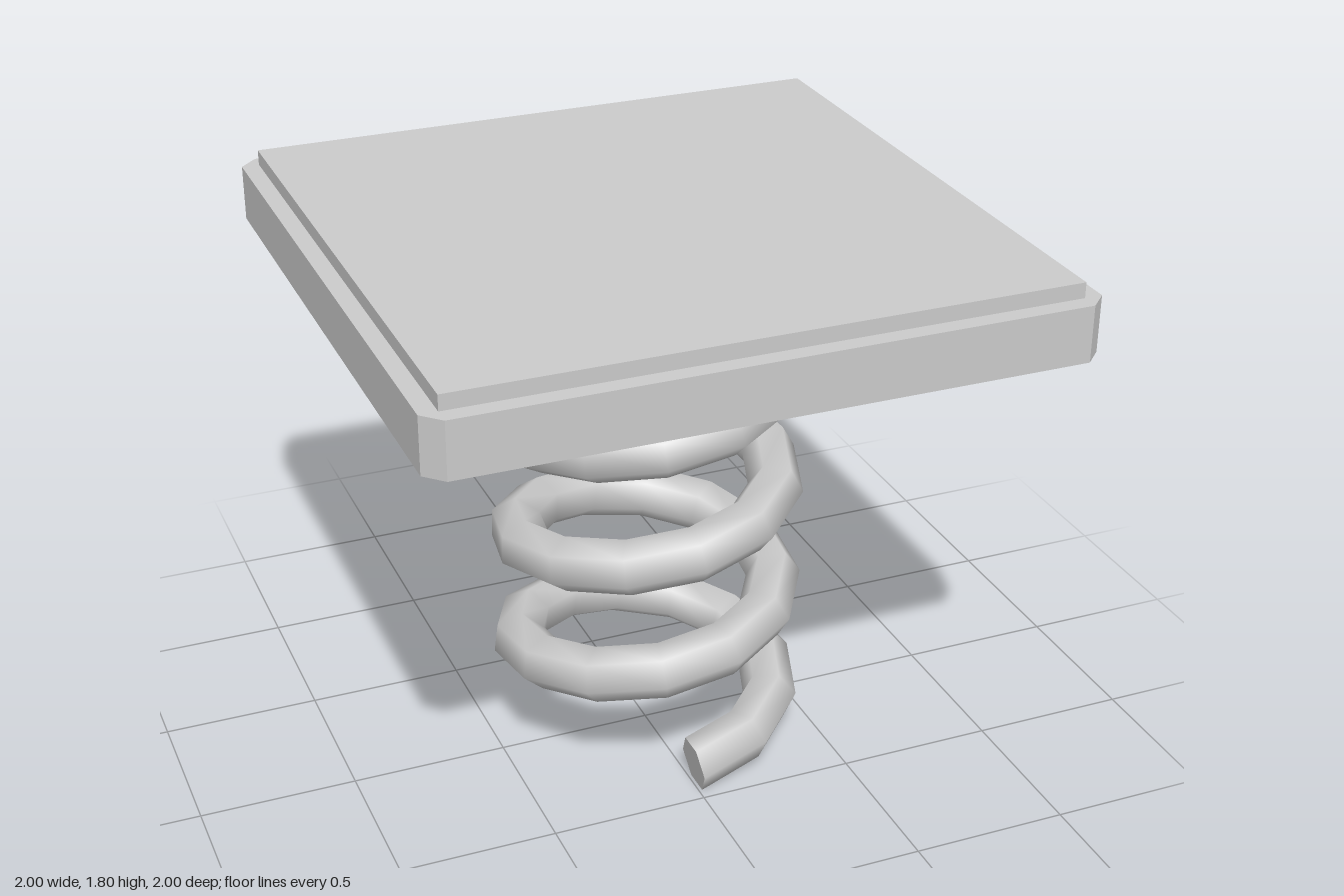
import * as THREE from 'three';

const material = new THREE.MeshStandardMaterial({ color: 0xcccccc });
const flat = new THREE.MeshStandardMaterial({ color: 0xcccccc, flatShading: true });

// Helix that starts at the front and climbs towards the model's left
class Helix extends THREE.Curve {
  constructor(radius, pitch, turns, baseY) {
    super();
    Object.assign(this, { radius, pitch, turns, baseY });
  }
  getPoint(t, target = new THREE.Vector3()) {
    const a = t * this.turns * Math.PI * 2;
    return target.set(
      Math.sin(a) * this.radius,
      this.baseY + t * this.turns * this.pitch,
      Math.cos(a) * this.radius
    );
  }
}

function add(group, name, geometry, mat, y = 0) {
  const mesh = new THREE.Mesh(geometry, mat);
  mesh.name = name;
  mesh.position.y = y;
  group.add(mesh);
  return mesh;
}

// Square slab given by its half width and its bottom and top heights
function slab(group, name, half, bottom, top) {
  const geometry = new THREE.BoxGeometry(half * 2, top - bottom, half * 2);
  add(group, name, geometry, material, (bottom + top) / 2);
}

export function createModel() {
  const group = new THREE.Group();
  group.name = 'springPlatform';

  // Coil spring: four turns, ending inside the platform
  const sides = 6;
  const helix = new Helix(0.415, 0.385, 4, 0.085);
  const coil = new THREE.TubeGeometry(helix, 50, 0.088, sides, false);
  add(group, 'spring', coil, material);

  // Flat cap on the spring's lower end, made from the first ring of the tube
  const ring = [];
  for (let i = 0; i < sides; i++) {
    ring.push(new THREE.Vector3().fromBufferAttribute(coil.attributes.position, i));
  }
  const start = helix.getPoint(0);
  const capPoints = ring.flatMap((p, i) => [start, p, ring[(i + 1) % sides]]);
  const cap = new THREE.BufferGeometry().setFromPoints(capPoints);
  cap.computeVertexNormals();
  const capMaterial = flat.clone();
  capMaterial.side = THREE.DoubleSide;
  add(group, 'springEnd', cap, capMaterial);

  // Mounting plate under the platform
  slab(group, 'mountingPlate', 0.65, 1.52, 1.59);

  // Platform body with cut corners
  const h = 1, c = 0.945;
  const outline = new THREE.Shape([
    [c, -h], [h, -c], [h, c], [c, h], [-c, h], [-h, c], [-h, -c], [-c, -h],
  ].map(([x, y]) => new THREE.Vector2(x, y)));
  const body = new THREE.ExtrudeGeometry(outline, { depth: 0.175, bevelEnabled: false });
  body.rotateX(-Math.PI / 2);
  add(group, 'platformBody', body, flat, 1.587);

  // Raised top pad
  slab(group, 'topPad', 0.945, 1.76, 1.81);

  return group;
}
